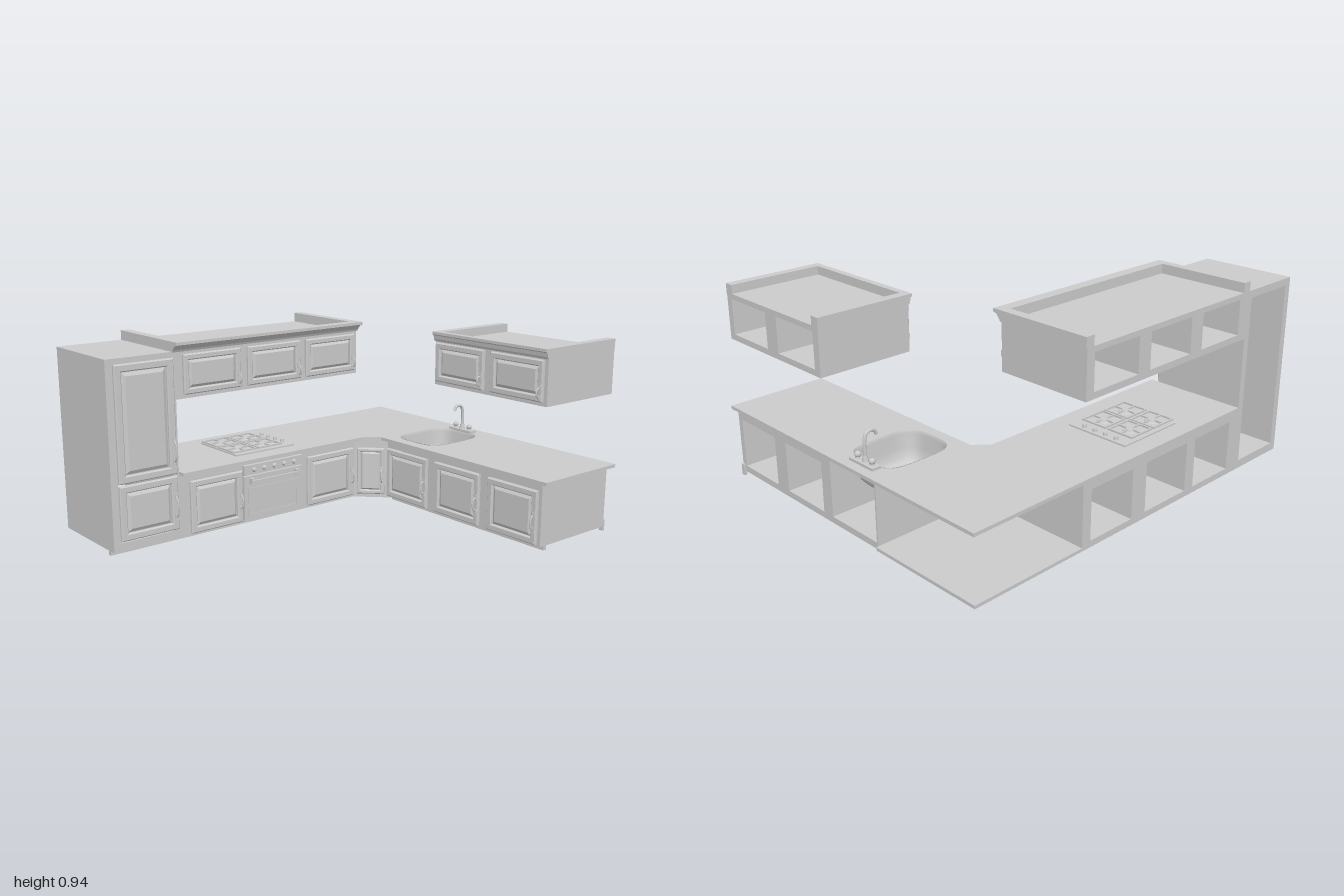
import * as THREE from 'three';

const mat = new THREE.MeshStandardMaterial({ color: 0xcccccc, side: THREE.DoubleSide });

function add(parent, name, geo) {
  const m = new THREE.Mesh(geo, mat);
  m.name = name;
  parent.add(m);
  return m;
}
function group(parent, name, rotY = 0) {
  const g = new THREE.Group();
  g.name = name;
  g.rotation.y = rotY;
  parent.add(g);
  return g;
}
const poly = (pts) => new THREE.Shape(pts.map(([x, y]) => new THREE.Vector2(x, y)));
const rect = (x0, x1, y0, y1) => poly([[x0, y0], [x1, y0], [x1, y1], [x0, y1]]);

function box(parent, name, x0, x1, y0, y1, z0, z1) {
  const g = new THREE.BoxGeometry(x1 - x0, y1 - y0, z1 - z0);
  return add(parent, name, g.translate((x0 + x1) / 2, (y0 + y1) / 2, (z0 + z1) / 2));
}
// Outline extruded from z0 to z1, with optional holes and a one-step bevel
function prism(parent, name, shape, z0, z1, holes = [], bevel = 0, bevelDepth = bevel) {
  shape.holes = holes;
  const geo = new THREE.ExtrudeGeometry(shape, {
    depth: z1 - z0 - bevelDepth, bevelEnabled: bevel > 0, bevelSize: bevel,
    bevelThickness: bevelDepth, bevelSegments: 1,
  });
  return add(parent, name, geo.translate(0, 0, z0));
}
// Flat slab from plan points given as [x, z]
function slab(parent, name, pts, y0, y1, hole) {
  const flip = (a) => a.map(([x, z]) => [x, -z]);
  const m = prism(parent, name, poly(flip(pts)), y0, y1, hole ? [poly(flip(hole))] : []);
  m.geometry.rotateX(-Math.PI / 2);
}
// Cabinet body, open at the back behind each door
function carcass(parent, name, [x0, x1, y0, y1], z0, z1, cells) {
  prism(parent, name, rect(x0, x1, y0, y1), z0, z1, cells.map((c) => rect(...c)));
}
function handle(parent, x, y, z, len) {
  const h = len / 2;
  const path = new THREE.CatmullRomCurve3([[-h, 0], [-h * 0.75, 0.014], [0, 0.02], [h * 0.75, 0.014], [h, 0]]
    .map(([dy, dz]) => new THREE.Vector3(x, y + dy, z + dz)));
  add(parent, 'handle', new THREE.TubeGeometry(path, 14, 0.004, 8));
  for (const s of [-h, h]) box(parent, 'handlePlate', x - 0.007, x + 0.007, y + s - 0.012, y + s + 0.012, z - 0.002, z + 0.004);
}
// Raised-panel door with a moulded frame
function door(parent, x0, x1, y0, y1, z, handleY, handleLen = 0.07, inset = 0.048) {
  const g = group(parent, 'door');
  const f = inset * 0.55, b = 0.005, s = inset * 0.3;
  box(g, 'doorBack', x0 + 0.004, x1 - 0.004, y0 + 0.004, y1 - 0.004, z, z + 0.006);
  prism(g, 'doorFrame', rect(x0 + b, x1 - b, y0 + b, y1 - b), z + 0.005, z + 0.02,
    [rect(x0 + f, x1 - f, y0 + f, y1 - f)], b);
  prism(g, 'doorPanel', rect(x0 + inset, x1 - inset, y0 + inset, y1 - inset), z + 0.004, z + 0.016, [], s, 0.009);
  handle(g, x1 - 0.014, handleY, z + 0.02, handleLen);
}
// Crown moulding: flared front and two side boards
function crown(parent, x0, x1, y, zBack, zFront, flare, h) {
  const g = group(parent, 'crown');
  const pts = [[-0.01, 0], [0.005, 0], [0.01, 0.2], [flare * 0.6, 0.6], [flare, 0.72], [flare, 1], [-0.01, 1]];
  const m = prism(g, 'crownFront', poly(pts.map(([z, t]) => [-(zFront + z), y + t * h])), x0, x1);
  m.geometry.rotateY(Math.PI / 2);
  box(g, 'crownSide', x0, x0 + 0.045, y, y + h, zBack, zFront - 0.005);
  box(g, 'crownSide', x1 - 0.045, x1, y, y + h, zBack, zFront - 0.005);
}
const cyl = (r0, r1, h, x, y, z, n = 20) => new THREE.CylinderGeometry(r0, r1, h, n).translate(x, y, z);

// Rounded outline of the sink, scaled by k
const N = 48, SX = -0.085, SZ = -0.735;
function sinkOutline(k) {
  const pts = [];
  for (let i = 0; i < N; i++) {
    const a = (i / N) * Math.PI * 2, c = Math.cos(a), s = Math.sin(a);
    pts.push([SX + 0.145 * k * Math.sign(c) * Math.abs(c) ** 0.5, SZ + 0.178 * k * Math.sign(s) * Math.abs(s) ** 0.5]);
  }
  return pts;
}
function buildSink(parent) {
  const g = group(parent, 'sink');
  const rings = [[1.02, 0.341], [1, 0.341], [0.98, 0.325], [0.95, 0.26], [0.9, 0.22], [0.8, 0.2], [0.6, 0.192], [0.1, 0.188], [0.001, 0.188]];
  const pos = [], idx = [];
  rings.forEach(([k, y], r) => {
    sinkOutline(k).forEach(([x, z], i) => {
      pos.push(x, y, z);
      if (r === rings.length - 1) return;
      const a = r * N + i, b = r * N + (i + 1) % N;
      idx.push(a, b, a + N, b, b + N, a + N);
    });
  });
  const geo = new THREE.BufferGeometry();
  geo.setAttribute('position', new THREE.Float32BufferAttribute(pos, 3));
  geo.setIndex(idx);
  geo.computeVertexNormals();
  add(g, 'sinkBowl', geo);
  // Tap with two valves
  box(g, 'tapPlate', -0.178, -0.022, 0.338, 0.35, -0.955, -0.91);
  for (const x of [-0.148, -0.052]) {
    add(g, 'tapStem', cyl(0.008, 0.012, 0.02, x, 0.358, -0.932));
    add(g, 'tapKnob', new THREE.SphereGeometry(0.014, 16, 10).translate(x, 0.367, -0.932));
  }
  add(g, 'tapBase', cyl(0.01, 0.015, 0.03, -0.1, 0.362, -0.93));
  const path = new THREE.CatmullRomCurve3([[0.35, -0.93], [0.44, -0.93], [0.47, -0.92], [0.48, -0.9], [0.475, -0.88], [0.455, -0.868]]
    .map(([y, z]) => new THREE.Vector3(-0.1, y, z)));
  add(g, 'spout', new THREE.TubeGeometry(path, 32, 0.008, 12));
}

// Oven front and hob, in the frame of the left run
function buildCooker(run) {
  const g = group(run, 'cooker'), zf = -0.365;
  box(g, 'ovenDoor', -0.305, 0.045, 0.03, 0.25, zf, zf + 0.015);
  prism(g, 'ovenWindowFrame', rect(-0.285, 0.025, 0.045, 0.19), zf + 0.012, zf + 0.018, [rect(-0.265, 0.005, 0.06, 0.175)]);
  box(g, 'controlPanel', -0.305, 0.045, 0.257, 0.305, zf, zf + 0.02);
  for (let i = 0; i < 5; i++) {
    const k = add(g, 'knob', cyl(0.009, 0.012, 0.02, 0, 0, 0).rotateX(Math.PI / 2));
    k.position.set(-0.25 + i * 0.06, 0.281, zf + 0.028);
  }
  box(g, 'ovenHandle', -0.275, 0.015, 0.221, 0.231, zf + 0.03, zf + 0.04);
  for (const x of [-0.265, 0.005]) box(g, 'ovenHandleMount', x - 0.01, x + 0.01, 0.212, 0.24, zf + 0.01, zf + 0.035);

  box(g, 'hobPlate', -0.3, 0.05, 0.336, 0.345, -0.74, -0.42);
  for (const x of [-0.235, -0.085]) for (const z of [-0.655, -0.505]) {
    add(g, 'burner', cyl(0.028, 0.034, 0.008, x, 0.348, z, 24));
    add(g, 'burnerCap', cyl(0.018, 0.02, 0.006, x, 0.354, z, 24));
    prism(g, 'grate', rect(x - 0.07, x + 0.07, z - 0.068, z + 0.068), -0.358, -0.35,
      [rect(x - 0.063, x + 0.063, z - 0.061, z + 0.061)]).rotation.x = Math.PI / 2;
    for (const s of [-1, 1]) {
      box(g, 'grateBar', x + s * 0.042 - 0.024, x + s * 0.042 + 0.024, 0.35, 0.358, z - 0.003, z + 0.003);
      box(g, 'grateBar', x - 0.003, x + 0.003, 0.35, 0.358, z + s * 0.042 - 0.024, z + s * 0.042 + 0.024);
    }
  }
  for (let i = 0; i < 4; i++) add(g, 'hobKnob', cyl(0.009, 0.011, 0.016, 0.026, 0.352, -0.67 + i * 0.06));
}

export function createModel() {
  const model = new THREE.Group();
  model.name = 'kitchen';

  // Left run, facing +x: local x is -z
  const left = group(model, 'leftRun', Math.PI / 2), zf = -0.365;
  carcass(left, 'tallCabinet', [-1, -0.655, 0.02, 0.895], -0.83, zf, [[-0.965, -0.69, 0.06, 0.86]]);
  door(left, -0.968, -0.672, 0.335, 0.87, zf, 0.445, 0.1, 0.055);
  door(left, -0.968, -0.672, 0.07, 0.325, zf, 0.18, 0.1, 0.052);

  carcass(left, 'baseCabinets', [-0.655, 0.41, 0.02, 0.322], -0.83, zf,
    [[-0.59, -0.33, 0.05, 0.285], [-0.27, 0.01, 0.05, 0.285], [0.1, 0.36, 0.05, 0.285]]);
  door(left, -0.605, -0.315, 0.03, 0.285, zf, 0.135);
  door(left, 0.08, 0.38, 0.03, 0.285, zf, 0.135);
  buildCooker(left);

  const upper = [[-0.62, -0.31], [-0.27, 0.04], [0.075, 0.385]];
  carcass(left, 'upperCabinets', [-0.66, 0.41, 0.675, 0.895], -0.83, zf,
    upper.map(([a, b]) => [a + 0.02, b - 0.02, 0.705, 0.87]));
  for (const [a, b] of upper) door(left, a, b, 0.695, 0.88, zf, 0.737, 0.045, 0.042);
  crown(left, -0.67, 0.415, 0.892, -0.83, zf, 0.045, 0.049);
  box(left, 'plinth', -1, 0.42, 0, 0.025, -0.42, -0.4);

  // Sink run, facing +z
  const back = group(model, 'sinkRun'), zs = -0.525;
  const cells = [[-0.23, 0.065], [0.12, 0.42], [0.475, 0.775]];
  const [sinkCell, ...others] = cells.map(([a, b]) => [a + 0.015, b - 0.015, 0.05, 0.285]);
  // Body with the sink bay open at the top
  prism(back, 'baseCabinets', poly([[-0.24, 0.02], [0.79, 0.02], [0.79, 0.322], [0.07, 0.322], [0.07, 0.05],
    [-0.232, 0.05], [-0.232, 0.322], [-0.24, 0.322]]), -0.99, zs - 0.02, others.map((c) => rect(...c)));
  carcass(back, 'baseFrontFrame', [-0.24, 0.79, 0.02, 0.322], zs - 0.02, zs, [sinkCell, ...others]);
  for (const [a, b] of cells) door(back, a, b, 0.03, 0.285, zs, 0.135);
  box(back, 'plinth', -0.23, 0.79, 0, 0.025, -0.57, -0.55);
  box(back, 'foot', 0.77, 0.79, 0, 0.055, -1, -0.985);

  const wall = [[0.118, 0.428], [0.47, 0.78]];
  carcass(back, 'wallCabinet', [0.1, 0.795, 0.672, 0.89], -0.985, -0.52,
    wall.map(([a, b]) => [a + 0.02, b - 0.02, 0.7, 0.865]));
  for (const [a, b] of wall) door(back, a, b, 0.692, 0.88, -0.52, 0.735, 0.045, 0.045);
  crown(back, 0.097, 0.797, 0.885, -0.985, -0.52, 0.022, 0.046);

  // Diagonal corner unit
  const corner = group(model, 'cornerUnit');
  slab(corner, 'cornerFloor', [[-0.83, -1], [-0.24, -1], [-0.24, -0.525], [-0.365, -0.4], [-0.83, -0.4]], 0.02, 0.035);
  const diag = group(corner, 'cornerFront', Math.PI / 4);
  diag.position.set(-0.3025, 0, -0.4625);
  box(diag, 'cornerPanel', -0.088, 0.088, 0.02, 0.322, -0.015, 0);
  door(diag, -0.072, 0.072, 0.035, 0.282, 0, 0.135, 0.07, 0.03);
  box(diag, 'plinth', -0.1, 0.1, 0, 0.025, -0.06, -0.04);

  // One-piece worktop with the sink cut out
  slab(model, 'worktop', [[-0.83, -1], [0.83, -1], [0.83, -0.5], [-0.265, -0.5], [-0.325, -0.43], [-0.325, 0.655], [-0.83, 0.655]],
    0.322, 0.338, sinkOutline(1));
  buildSink(model);
  return model;
}
